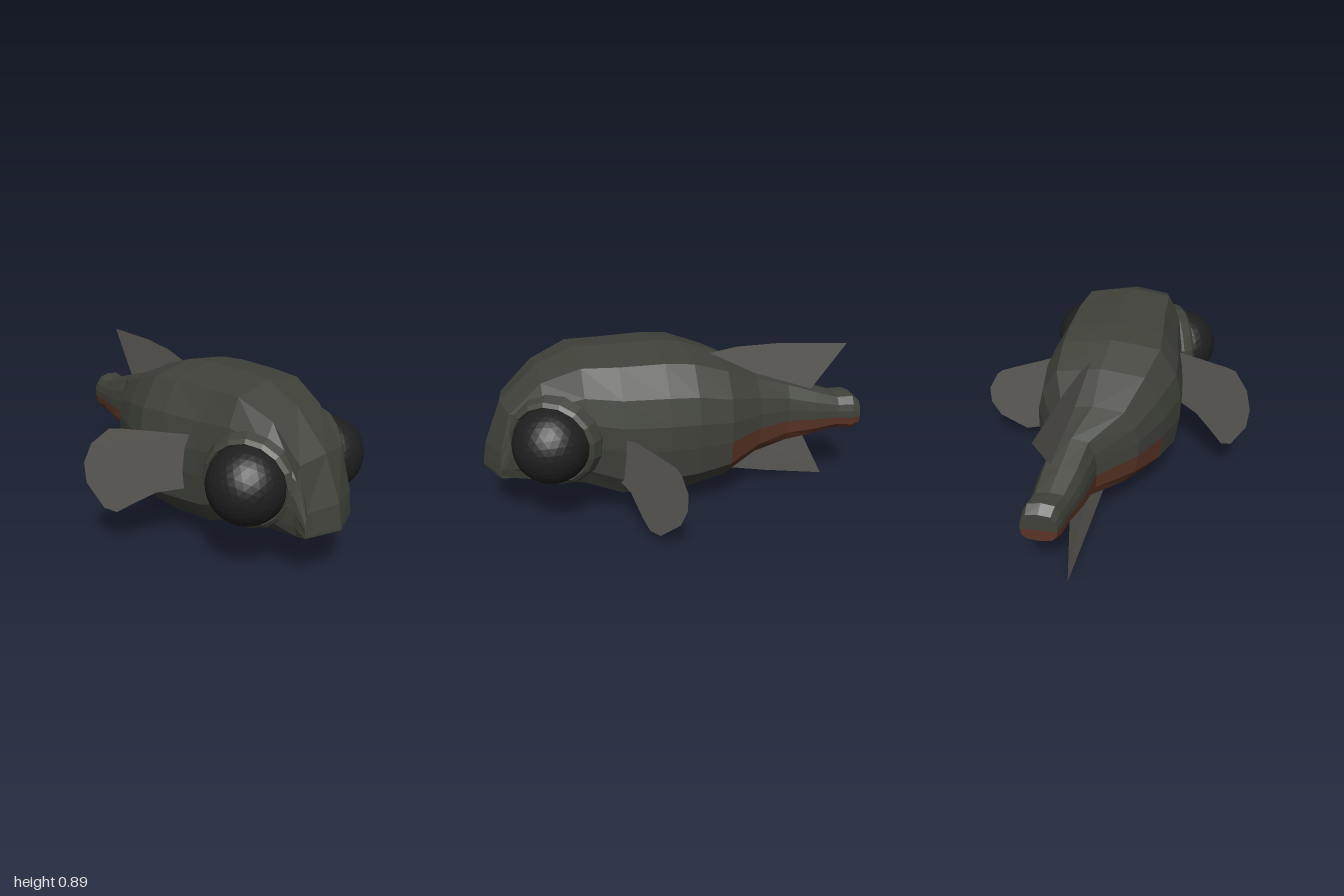
import * as THREE from 'three';

const mat = (name, color, extra = {}) => {
  const m = new THREE.MeshStandardMaterial({ color, flatShading: true, ...extra });
  m.name = name;
  return m;
};

// Half outline of a body section, top to bottom: [width fraction, height fraction]
const HALF = [[0, 1], [0.68, 0.95], [0.92, 0.76], [1, 0.58], [1, 0.41], [0.94, 0.2], [0.68, 0.05], [0, 0]];
const RED_FROM = 4; // half outline index where the belly colour starts

// Body sections: [z, centre x, half width, top y, bottom y, boxiness, bow]
const SECTIONS = [
  [1.0, -0.07, 0.18, 0.295, 0.28, 0.95, 0.07],
  [0.98, -0.07, 0.18, 0.41, 0.265, 0.95, 0.06],
  [0.89, -0.07, 0.19, 0.635, 0.24, 0.85, 0.03],
  [0.7, -0.05, 0.26, 0.81, 0.21, 0.68, 0],
  [0.51, -0.03, 0.305, 0.893, 0.19, 0.72, 0],
  [0.33, -0.01, 0.335, 0.895, 0.115, 0.7, 0],
  [0.1, -0.005, 0.362, 0.893, 0.1, 0.68, 0],
  [-0.05, 0, 0.367, 0.875, 0.115, 0.68, 0],
  [-0.23, 0.03, 0.325, 0.81, 0.16, 0.68, 0],
  [-0.42, 0.04, 0.225, 0.715, 0.24, 0.68, 0],
  [-0.6, 0.113, 0.118, 0.65, 0.29, 0.68, 0],
  [-0.75, 0.14, 0.112, 0.595, 0.32, 0.68, 0],
  [-0.88, 0.165, 0.095, 0.55, 0.35, 0.68, 0],
  [-0.96, 0.187, 0.093, 0.556, 0.34, 0.68, 0],
  [-1.0, 0.195, 0.085, 0.52, 0.365, 0.68, 0],
];

function bodyGeometry() {
  // Full ring: down the -x side, then back up the +x side
  const ring = [
    ...HALF.map(([u, v]) => [-u, v]),
    ...HALF.slice(1, -1).reverse(),
  ];
  const n = ring.length, last = SECTIONS.length - 1;
  const pos = [], skin = [], red = [];
  for (const [z, cx, hw, top, bot, box, bow] of SECTIONS) {
    ring.forEach(([u, v], j) => {
      const s = Math.sign(u);
      const corner = j === 1 || j === n - 1;
      const w = u === 0 ? 0 : corner ? box : Math.max(Math.abs(u), Math.min(box, 0.97));
      pos.push(cx + s * w * hw, bot + (top - bot) * v, z - bow * w);
    });
  }
  const lower = (j) => j >= RED_FROM && j < n - RED_FROM;
  for (let i = 0; i < last; i++) {
    for (let j = 0; j < n; j++) {
      const k = (j + 1) % n, a = i * n + j, b = i * n + k, c = a + n, d = b + n;
      const list = SECTIONS[i][0] < -0.2 && lower(j) ? red : skin;
      list.push(a, c, b, b, c, d);
    }
  }
  // Close the nose and the tail
  const cap = (i, flip) => {
    const [z, cx, , top, bot] = SECTIONS[i];
    const mid = pos.length / 3;
    pos.push(cx, bot + (top - bot) * 0.41, z);
    for (let j = 0; j < n; j++) {
      const a = i * n + j, b = i * n + (j + 1) % n;
      (flip && lower(j) ? red : skin).push(mid, flip ? b : a, flip ? a : b);
    }
  };
  cap(0, false);
  cap(last, true);
  const g = new THREE.BufferGeometry();
  g.setAttribute('position', new THREE.Float32BufferAttribute(pos, 3));
  g.setIndex([...skin, ...red]);
  g.addGroup(0, skin.length, 0);
  g.addGroup(skin.length, red.length, 1);
  g.computeVertexNormals();
  return g;
}

// Flat fin: a 2D outline placed in space by a rule
function fin(name, outline, place, material) {
  const g = new THREE.ShapeGeometry(new THREE.Shape(outline.map(([a, b]) => new THREE.Vector2(a, b))));
  const p = g.attributes.position;
  for (let i = 0; i < p.count; i++) p.setXYZ(i, ...place(p.getX(i), p.getY(i)));
  g.computeVertexNormals();
  const m = new THREE.Mesh(g, material);
  m.name = name;
  return m;
}

// Eyeball sitting in a raised socket that points along dir
function eye(name, centre, dir, eyeMat, skinMat) {
  const g = new THREE.Group();
  g.name = name;
  const ball = new THREE.Mesh(new THREE.IcosahedronGeometry(0.195, 5), eyeMat);
  ball.name = 'eyeball';
  const profile = [[0.25, -0.17], [0.245, -0.05], [0.225, 0], [0.205, 0.015], [0.18, -0.02]];
  const socket = new THREE.Mesh(
    new THREE.LatheGeometry(profile.map(([r, y]) => new THREE.Vector2(r, y)), 16), skinMat);
  socket.name = 'eyeSocket';
  socket.quaternion.setFromUnitVectors(new THREE.Vector3(0, 1, 0), new THREE.Vector3(...dir).normalize());
  g.add(ball, socket);
  g.position.set(...centre);
  return g;
}

export function createModel() {
  const skin = mat('dark olive skin', 0x40423a);
  const red = mat('rust belly', 0x5a3426);
  const black = mat('eye black', 0x1f1f20);
  const finMat = mat('fin grey', 0x5f5d58, { side: THREE.DoubleSide });

  const model = new THREE.Group();
  model.name = 'fish';
  const body = new THREE.Mesh(bodyGeometry(), [skin, red]);
  body.name = 'body';
  model.add(body);

  // The head turns slightly to its right, so the eyes differ a little
  model.add(
    eye('leftEye', [0.222, 0.49, 0.68], [0.86, 0, 0.51], black, skin),
    eye('rightEye', [-0.328, 0.485, 0.64], [-0.94, 0, 0.33], black, skin));

  // Side fins, drawn in x and y
  model.add(
    fin('leftSideFin', [[0.28, 0.5], [0.4, 0.525], [0.65, 0.5], [0.68, 0.48], [0.725, 0.395], [0.722, 0.3],
      [0.68, 0.2], [0.55, 0.07], [0.48, 0.062], [0.43, 0.11], [0.35, 0.22], [0.28, 0.25]],
      (x, y) => [x, y, 0.33 - 0.475 * (x - 0.32)], finMat),
    fin('rightSideFin', [[-0.32, 0.63], [-0.42, 0.65], [-0.6, 0.683], [-0.64, 0.685], [-0.705, 0.61],
      [-0.73, 0.51], [-0.72, 0.4], [-0.65, 0.25], [-0.6, 0.22], [-0.53, 0.27], [-0.45, 0.32], [-0.32, 0.34]],
      (x, y) => [x, y, 0.24 + 0.8 * (x + 0.36) + 0.1 * (y - 0.45)], finMat));

  // Back and belly fins, drawn in z and y
  model.add(
    fin('backFin', [[-0.19, 0.82], [-0.33, 0.85], [-0.55, 0.86], [-0.91, 0.845], [-0.73, 0.58], [-0.45, 0.66]],
      (z, y) => [0.09 - 0.19 * (z + 0.22), y, z], finMat),
    fin('bellyFin', [[-0.17, 0.155], [-0.3, 0.09], [-0.56, 0.045], [-0.89, 0], [-0.72, 0.33], [-0.45, 0.28]],
      (z, y) => [-0.01 - 0.15 * (z + 0.17) + 0.15 * Math.max(0, y - 0.1), y, z], finMat));

  return model;
}
